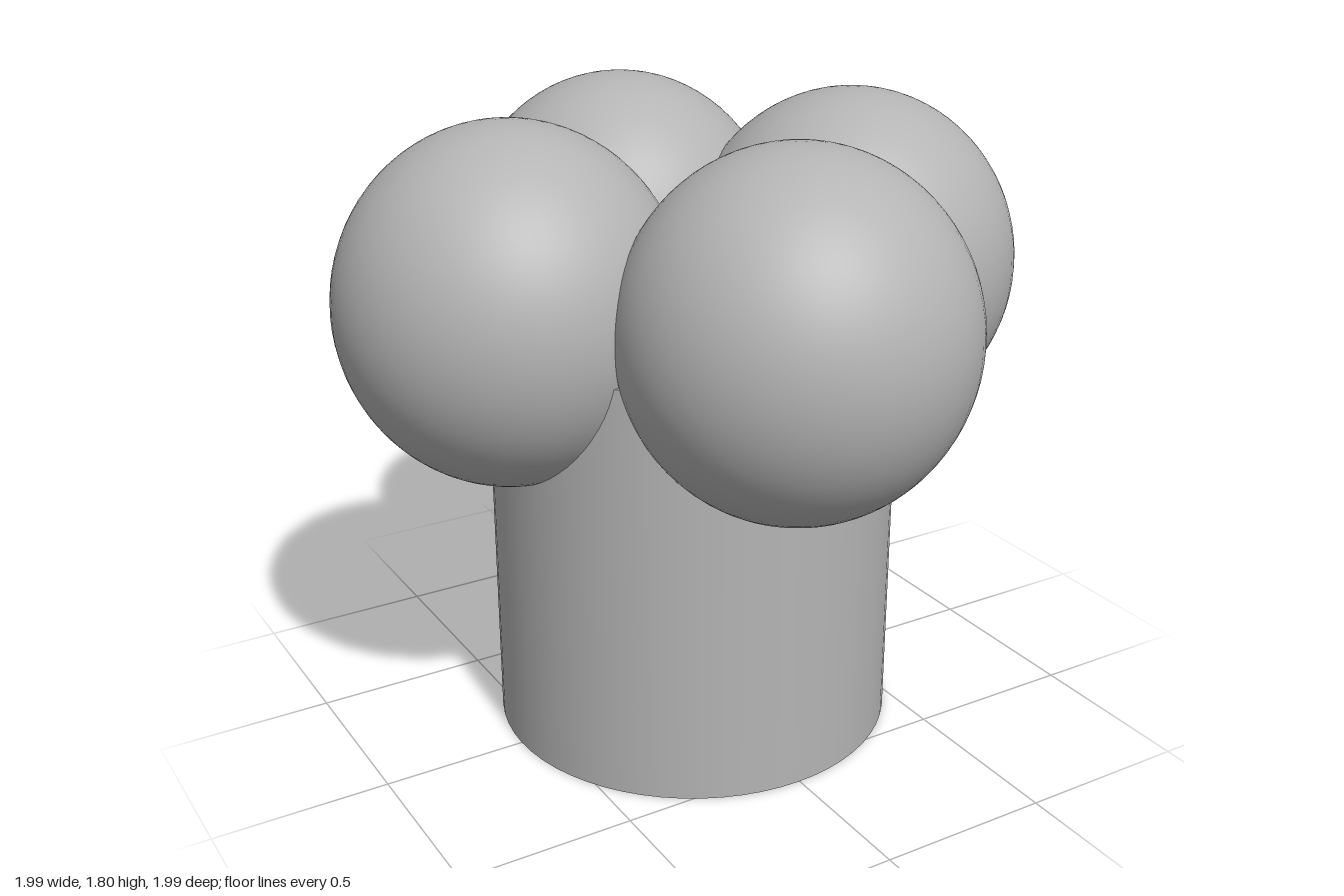
import * as THREE from 'three';

const TRUNK_R = 0.58, TRUNK_X = -0.005, TRUNK_TOP = 1.2;

// Open tube with a shallow swelling on its +x side
function trunkGeometry() {
  const geo = new THREE.CylinderGeometry(TRUNK_R, TRUNK_R, TRUNK_TOP, 64, 60, true);
  geo.translate(0, TRUNK_TOP / 2, 0);
  const pos = geo.attributes.position, normal = geo.attributes.normal;
  const v = new THREE.Vector3();
  for (let i = 0; i < pos.count; i++) {
    v.fromBufferAttribute(pos, i);
    if (v.x <= 0) continue;
    const d = Math.hypot((v.y - 0.61) / 0.17, v.z / 0.2);
    if (d >= 1) continue;
    const push = 0.024 * 0.5 * (1 + Math.cos(Math.PI * d));
    pos.setX(i, v.x + push);
  }
  // Recompute normals, keeping the seam (at x = 0) radial
  geo.computeVertexNormals();
  for (let i = 0; i < pos.count; i++) {
    if (pos.getX(i) > 0.3) continue;
    v.fromBufferAttribute(pos, i).setY(0).normalize();
    normal.setXYZ(i, v.x, 0, v.z);
  }
  return geo;
}

export function createModel() {
  const model = new THREE.Group();
  model.name = 'clusteredTree';

  const grey = new THREE.MeshStandardMaterial({ color: 0xb4b4b4, side: THREE.DoubleSide });
  grey.name = 'grey';

  // Hollow trunk, open at the bottom
  const trunk = new THREE.Mesh(trunkGeometry(), grey);
  trunk.name = 'trunk';
  trunk.position.x = TRUNK_X;
  model.add(trunk);

  // Lid closing the trunk between the balls
  const lid = new THREE.Mesh(new THREE.CircleGeometry(TRUNK_R, 64), grey);
  lid.name = 'trunkLid';
  lid.rotation.x = -Math.PI / 2;
  lid.position.set(TRUNK_X, TRUNK_TOP, 0);
  model.add(lid);

  // Four slightly tall balls around the top
  const ball = new THREE.SphereGeometry(1, 64, 40);
  const balls = [
    ['frontBall', 0.002, 0.513],
    ['backBall', 0.052, -0.522],
    ['leftBall', 0.512, 0.022],
    ['rightBall', -0.52, -0.095],
  ];
  for (const [name, x, z] of balls) {
    const mesh = new THREE.Mesh(ball, grey);
    mesh.name = name;
    mesh.position.set(x, 1.308, z);
    mesh.scale.set(0.478, 0.497, 0.478);
    model.add(mesh);
  }
  return model;
}
